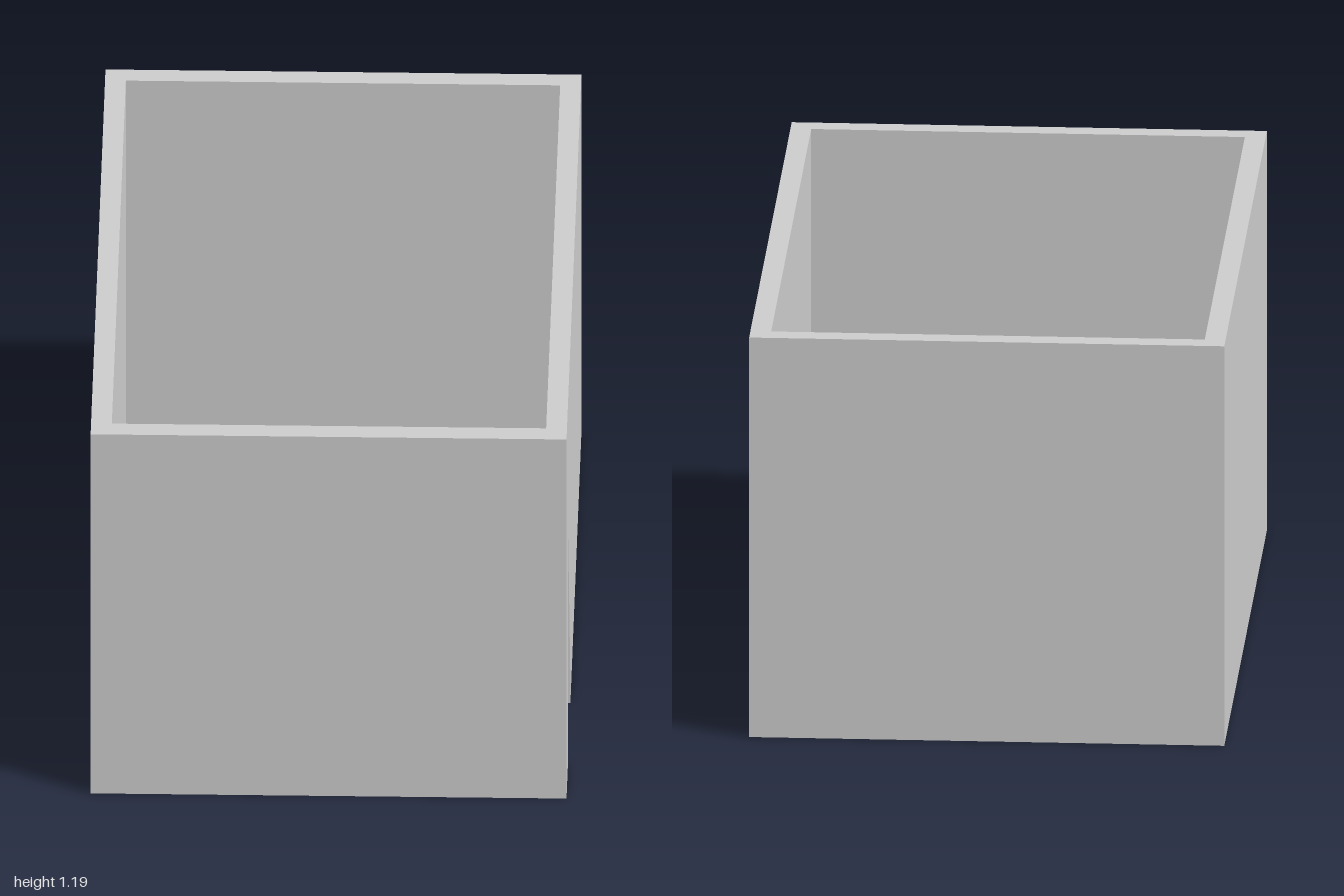
import * as THREE from 'three';

const H = 1.19, X = 0.675, Z = 1, XI = 0.616, ZI = 0.94;
const mat = new THREE.MeshStandardMaterial({ color: 0xcccccc, flatShading: true, side: THREE.DoubleSide });

function add(parent, name, geometry, position = [0, 0, 0], rotation = [0, 0, 0]) {
  const mesh = new THREE.Mesh(geometry, mat);
  mesh.name = name;
  mesh.position.set(...position);
  mesh.rotation.set(...rotation);
  parent.add(mesh);
  return mesh;
}

const shapeOf = pts => new THREE.Shape(pts.map(p => new THREE.Vector2(...p)));
const rect = (x, z) => [[-x, -z], [x, -z], [x, z], [-x, z]];

export function createModel() {
  const model = new THREE.Group();
  model.name = 'openBox';
  const Q = Math.PI / 2;

  // Front and back wall skins, and the plain left-over sides
  for (const s of [1, -1]) {
    const turn = s > 0 ? 0 : Math.PI;
    add(model, s > 0 ? 'frontOuterWall' : 'backOuterWall',
      new THREE.PlaneGeometry(2 * X, H), [0, H / 2, s * Z], [0, turn, 0]);
    add(model, s > 0 ? 'frontInnerWall' : 'backInnerWall',
      new THREE.PlaneGeometry(2 * XI, H), [0, H / 2, s * ZI], [0, turn + Math.PI, 0]);
    add(model, s > 0 ? 'leftInnerWall' : 'rightInnerWall',
      new THREE.PlaneGeometry(2 * ZI, H), [s * XI, H / 2, 0], [0, -s * Q, 0]);
  }
  add(model, 'rightOuterWall', new THREE.PlaneGeometry(2 * Z, H), [-X, H / 2, 0], [0, -Q, 0]);

  // Left skin with the slanted doorway cut up from its bottom edge
  add(model, 'leftOuterWall', new THREE.ShapeGeometry(shapeOf([
    [-Z, 0], [-0.815, 0], [-0.815, 0.82], [-0.475, 0.07], [-0.475, 0], [Z, 0], [Z, H], [-Z, H],
  ])), [X, 0, 0], [0, Q, 0]);

  // Rim joining the two skins; the walls are hollow and open below
  const rim = shapeOf(rect(X, Z));
  rim.holes.push(new THREE.Path(rect(XI, ZI).map(p => new THREE.Vector2(...p))));
  add(model, 'topRim', new THREE.ShapeGeometry(rim), [0, H, 0], [-Q, 0, 0]);
  add(model, 'floor', new THREE.PlaneGeometry(2 * XI, 2 * ZI), [0, 0, 0], [-Q, 0, 0]);

  // Recessed door with its jambs
  const door = new THREE.Group();
  door.name = 'door';
  model.add(door);
  const depth = 0.038, dh = 0.82;
  add(door, 'doorPanel', new THREE.PlaneGeometry(0.34, dh), [X - depth, dh / 2, 0.645], [0, Q, 0]);
  for (const z of [0.475, 0.815])
    add(door, 'doorJamb', new THREE.PlaneGeometry(depth, dh), [X - depth / 2, dh / 2, z], [0, z < 0.6 ? 0 : Math.PI, 0]);

  // Small lever handle on the inside
  add(door, 'handleStem', new THREE.BoxGeometry(0.02, 0.012, 0.012), [0.607, 0.42, 0.486]);
  add(door, 'handleLever', new THREE.BoxGeometry(0.008, 0.012, 0.05), [0.598, 0.42, 0.505]);
  return model;
}
